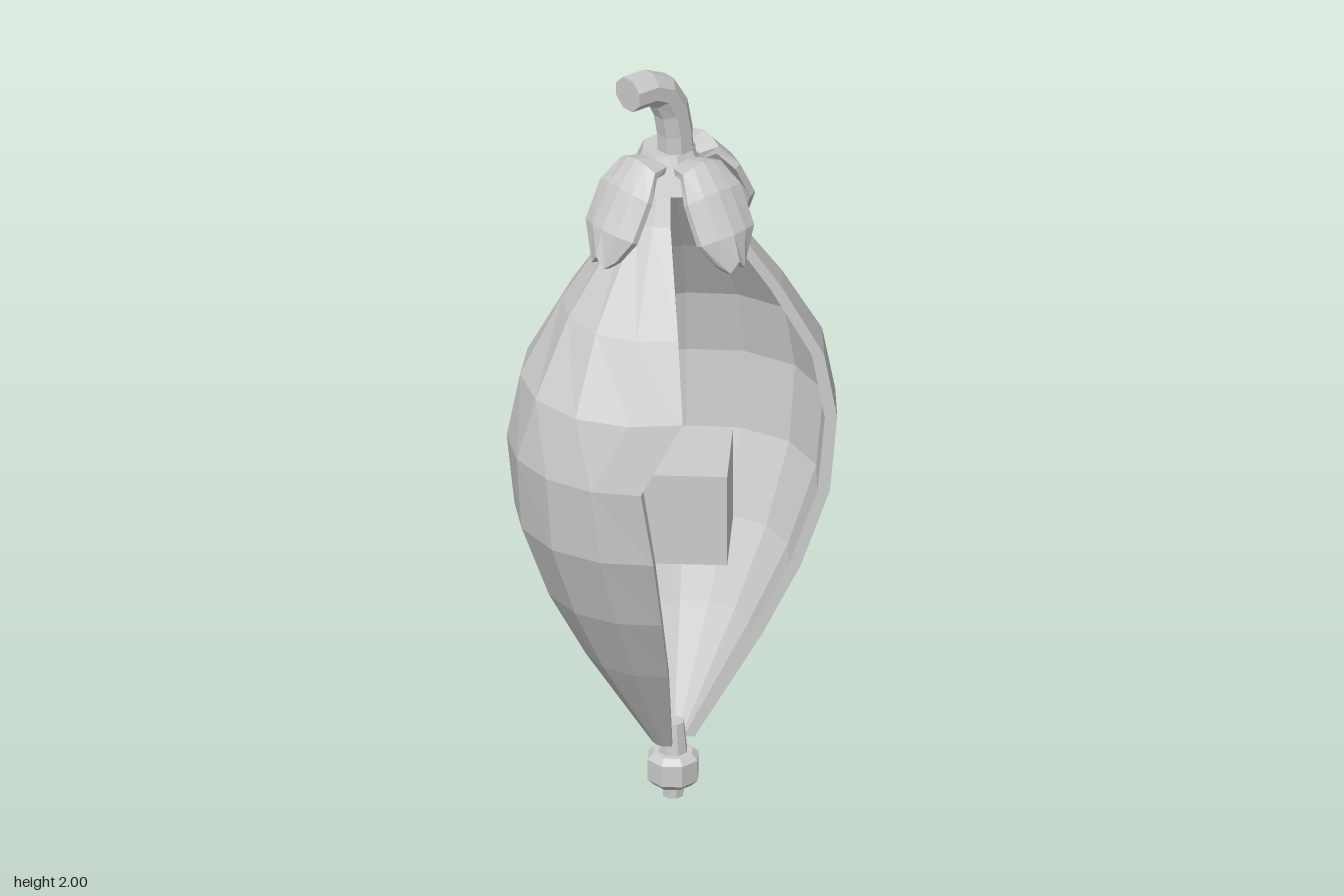
import * as THREE from 'three';

const AXIS_Z = 0.03;
const RAD = Math.PI / 180;

// Skins a list of closed rings (same point count) and caps both ends
function loft(rings) {
  const pos = [];
  const tri = (a, b, c) => pos.push(...a, ...b, ...c);
  const n = rings[0].length;
  for (let j = 0; j < rings.length - 1; j++) {
    for (let i = 0; i < n; i++) {
      const k = (i + 1) % n;
      const a = rings[j][i], b = rings[j][k], c = rings[j + 1][k], d = rings[j + 1][i];
      tri(a, d, c);
      tri(a, c, b);
    }
  }
  const cap = (r, flip) => {
    for (let i = 0; i < n / 2 - 1; i++) {
      const q = [r[i], r[i + 1], r[n - 2 - i], r[n - 1 - i]];
      if (flip) q.reverse();
      tri(q[0], q[1], q[2]);
      tri(q[0], q[2], q[3]);
    }
  };
  cap(rings[0], false);
  cap(rings[rings.length - 1], true);
  const g = new THREE.BufferGeometry();
  g.setAttribute('position', new THREE.Float32BufferAttribute(pos, 3));
  g.computeVertexNormals();
  return g;
}

// Pod profile: height and relative radius
const PROFILE = [
  [0.155, 0.13], [0.43, 0.54], [0.62, 0.78], [0.82, 0.955], [1.02, 1],
  [1.19, 0.92], [1.37, 0.67], [1.6, 0.28], [1.74, 0.12],
];

// Half shell of the pod between two angles (degrees, x towards z) at each level
function shell(from, to) {
  const steps = 6;
  return loft(PROFILE.map(([y, s], j) => {
    const outer = [], inner = [];
    for (let i = 0; i <= steps; i++) {
      const p = (from[j] + (to[j] - from[j]) * i / steps) * RAD;
      const r = s / Math.hypot(Math.cos(p) / 0.432, Math.sin(p) / 0.355);
      const q = r - Math.min(0.03, r * 0.45);
      outer.push([r * Math.cos(p), y, r * Math.sin(p)]);
      inner.unshift([q * Math.cos(p), y, q * Math.sin(p)]);
    }
    return [...outer, ...inner];
  }));
}

// Drooping sepal pointing along +z: reach, height, half width, side drop
function sepal() {
  const path = [
    [0.05, 1.75, 0.045, 0.01], [0.11, 1.765, 0.06, 0.02], [0.165, 1.705, 0.085, 0.02],
    [0.22, 1.61, 0.085, 0.025], [0.24, 1.545, 0.045, 0.025],
  ];
  return loft(path.map(([r, y, w, d], j) => {
    const a = path[Math.max(0, j - 1)], b = path[Math.min(path.length - 1, j + 1)];
    const len = Math.hypot(b[0] - a[0], b[1] - a[1]);
    const nr = -(b[1] - a[1]) / len, ny = (b[0] - a[0]) / len;
    const at = (x, off) => [x, y + ny * off, r + nr * off];
    const ring = [at(-w, -d), at(-w / 2, -d * 0.3), at(0, 0), at(w / 2, -d * 0.3), at(w, -d),
      at(w, -d - 0.018), at(w / 2, -d * 0.3 - 0.018), at(0, -0.018),
      at(-w / 2, -d * 0.3 - 0.018), at(-w, -d - 0.018)];
    // notched tip
    if (j === path.length - 1) for (const i of [1, 3, 6, 8]) ring[i][1] -= 0.025;
    return ring;
  }));
}

// Bent octagonal stalk
function stalk() {
  const path = [
    [0.008, 1.74, 0, 1], [0.005, 1.81, -0.12, 1], [-0.008, 1.875, -0.4, 1],
    [-0.04, 1.93, -1, 0.8], [-0.085, 1.953, -1, 0.2], [-0.146, 1.957, -1, 0],
  ];
  return loft(path.map(([x, y, tx, ty]) => {
    const l = Math.hypot(tx, ty);
    return Array.from({ length: 8 }, (_, i) => {
      const a = (i + 0.5) * Math.PI / 4;
      const c = 0.045 * Math.cos(a);
      return [x + c * ty / l, y - c * tx / l, 0.045 * Math.sin(a)];
    });
  }));
}

export function createModel() {
  const root = new THREE.Group();
  root.name = 'splitPod';
  const grey = new THREE.MeshStandardMaterial({ color: 0xcccccc });
  grey.name = 'plain grey';
  grey.flatShading = true;
  const add = (name, geometry, y = 0, z = AXIS_Z) => {
    const m = new THREE.Mesh(geometry, grey);
    m.name = name;
    m.position.set(0, y, z);
    root.add(m);
    return m;
  };

  // Two open halves of the pod
  add('leftShell', shell(PROFILE.map(() => -84.4), PROFILE.map(() => 40)));
  const front = [45, 45, 47, 49, 53, 38, 39, 45, 50];
  const back = [5, 8, 15, 18, 26, 21, 12, 4, 3];
  add('rightShell', shell(front.map((f) => 90 + f), back.map((b) => 270 - b)));

  // Block held inside
  add('innerBlock', new THREE.BoxGeometry(0.2475, 0.24, 0.2475), 0.82, 0.05).rotation.y = Math.PI / 4;

  // Crown, sepals and stalk
  add('crown', new THREE.CylinderGeometry(0.065, 0.105, 0.09, 8), 1.715, 0.012).rotation.y = Math.PI / 8;
  const leaf = sepal();
  ['frontSepal', 'leftSepal', 'rightSepal'].forEach((name, i) => {
    add(name, leaf, 0, i ? 0.02 : AXIS_Z).rotation.y = [0, 1, -1][i] * Math.PI / 2;
  });
  add('stalk', stalk());

  // Turned knob at the bottom
  const knob = [[0, 0], [0.026, 0], [0.026, 0.035], [0.05, 0.035], [0.065, 0.05], [0.065, 0.105],
    [0.05, 0.12], [0.036, 0.12], [0.027, 0.2], [0, 0.2]].map(([r, y]) => new THREE.Vector2(r, y));
  add('bottomKnob', new THREE.LatheGeometry(knob, 8)).rotation.y = Math.PI / 8;

  return root;
}
